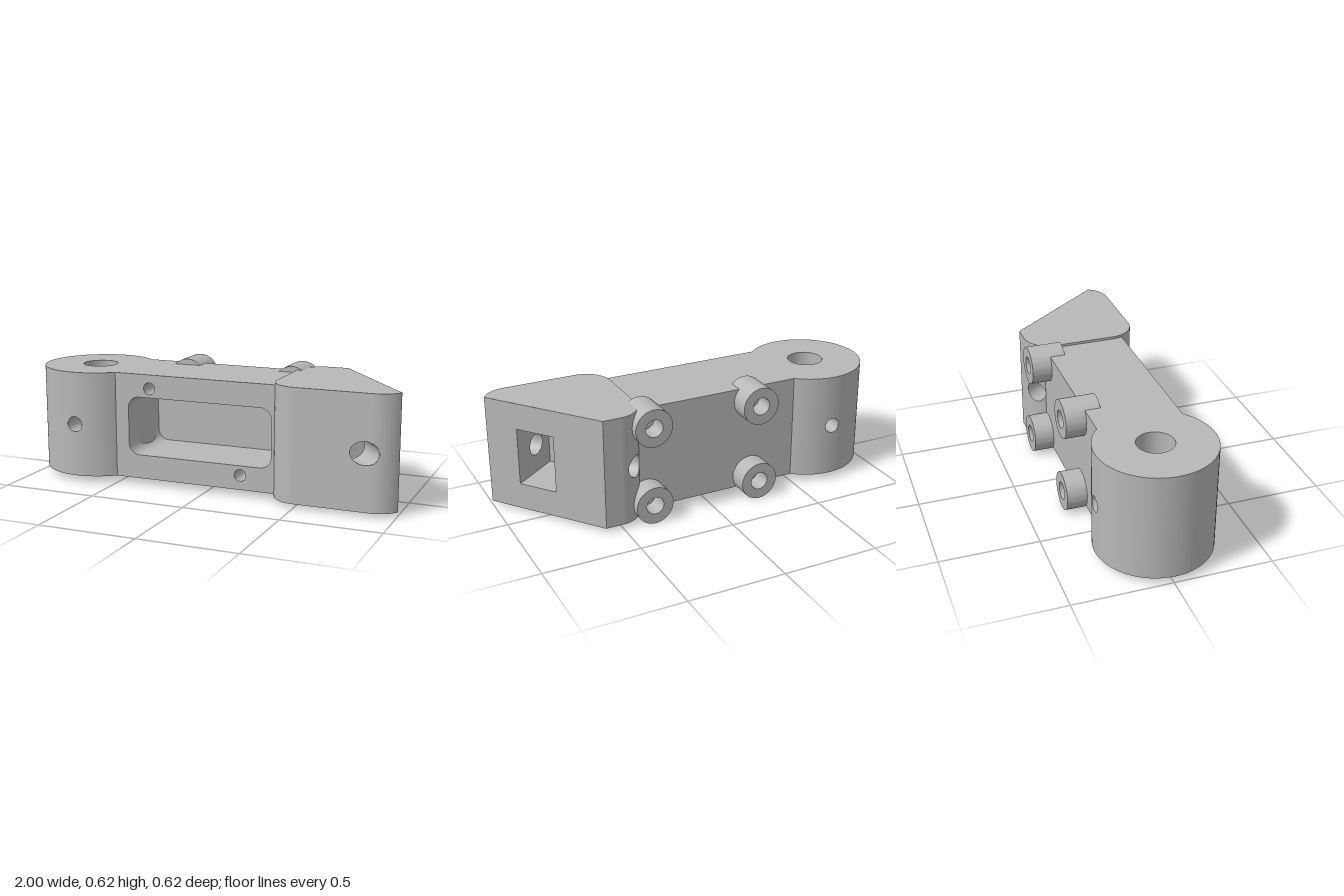
import * as THREE from 'three';
import { toCreasedNormals } from 'three/addons/utils/BufferGeometryUtils.js';

const metal = new THREE.MeshStandardMaterial({ color: 0xb8b8b8, side: THREE.DoubleSide });
metal.name = 'grey metal';

function addMesh(group, name, geometry) {
  const mesh = new THREE.Mesh(toCreasedNormals(geometry, 0.5), metal);
  mesh.name = name;
  group.add(mesh);
  return mesh;
}

function quadGeometry(quads) {
  const pos = [];
  for (const [a, b, c, d] of quads) pos.push(...a, ...b, ...c, ...a, ...c, ...d);
  const g = new THREE.BufferGeometry();
  g.setAttribute('position', new THREE.Float32BufferAttribute(pos, 3));
  return g;
}

// Plan paths are lists of [x, z], running counter-clockwise seen from above
function arc(cx, cz, r, fromDeg, toDeg, n) {
  return Array.from({ length: n + 1 }, (_, i) => {
    const a = THREE.MathUtils.degToRad(fromDeg + (toDeg - fromDeg) * i / n);
    return [cx + r * Math.cos(a), cz + r * Math.sin(a)];
  });
}

function resample(path, step) {
  const out = [path[0]];
  for (let i = 1; i < path.length; i++) {
    const [a, b] = [path[i - 1], path[i]];
    const n = Math.max(1, Math.ceil(Math.hypot(b[0] - a[0], b[1] - a[1]) / step));
    for (let k = 1; k <= n; k++) out.push([a[0] + (b[0] - a[0]) * k / n, a[1] + (b[1] - a[1]) * k / n]);
  }
  return out;
}

// Upright wall along a path, optionally pierced by a horizontal bore
function wall(path, y0, y1, bore) {
  const pts = bore ? resample(path, 0.004) : path;
  const quads = [];
  const strip = (p, q, pl, ql, ph, qh) => quads.push(
    [[p[0], pl, p[1]], [q[0], ql, q[1]], [q[0], qh, q[1]], [p[0], ph, p[1]]]);
  const half = (p) => {
    const w = (p[0] - bore.p[0]) * bore.d[1] - (p[1] - bore.p[1]) * bore.d[0];
    return Math.sqrt(Math.max(0, bore.r ** 2 - w * w));
  };
  for (let i = 1; i < pts.length; i++) {
    const [p, q] = [pts[i - 1], pts[i]];
    if (!bore) { strip(p, q, y0, y0, y1, y1); continue; }
    const [hp, hq] = [half(p), half(q)];
    strip(p, q, y0, y0, bore.y - hp, bore.y - hq);
    strip(p, q, bore.y + hp, bore.y + hq, y1, y1);
  }
  return quadGeometry(quads);
}

// Distance along a bore line, shifted sideways by w, to where it meets a path
function hit(path, bore, w, sign) {
  const [dx, dz] = bore.d;
  const px = bore.p[0] - dz * w, pz = bore.p[1] + dx * w;
  let best = 0;
  for (let i = 1; i < path.length; i++) {
    const [a, b] = [path[i - 1], path[i]];
    const sa = (a[0] - px) * -dz + (a[1] - pz) * dx;
    const sb = (b[0] - px) * -dz + (b[1] - pz) * dx;
    if (sa * sb > 0 || sa === sb) continue;
    const k = sa / (sa - sb);
    const t = (a[0] + (b[0] - a[0]) * k - px) * dx + (a[1] + (b[1] - a[1]) * k - pz) * dz;
    if (t * sign > best * sign) best = t;
  }
  return best;
}

// Inside surface of a bore between two paths
function tunnel(bore, startPath, endPath, sign) {
  const n = 40, rings = [];
  for (let i = 0; i <= n; i++) {
    const a = i / n * Math.PI * 2;
    const w = bore.r * Math.cos(a), y = bore.y + bore.r * Math.sin(a);
    const at = (t) => [bore.p[0] - bore.d[1] * w + bore.d[0] * t, y, bore.p[1] + bore.d[0] * w + bore.d[1] * t];
    rings.push([at(hit(startPath, bore, w, sign)), at(hit(endPath, bore, w, sign))]);
  }
  return quadGeometry(rings.slice(1).map((r, i) => [rings[i][0], r[0], r[1], rings[i][1]]));
}

// Flat horizontal face
function cap(path, y, up, hole) {
  const s = up ? -1 : 1;
  const pts = (p) => p.map(([x, z]) => new THREE.Vector2(x, s * z));
  const shape = new THREE.Shape(pts(path));
  if (hole) shape.holes.push(new THREE.Path(pts(hole)));
  return new THREE.ShapeGeometry(shape).rotateX(s * Math.PI / 2).translate(0, y, 0);
}

function circleHole(x, y, r) {
  return new THREE.Path().absarc(x, y, r, 0, Math.PI * 2, true);
}

function roundedWindow(x0, y0, x1, y1, r) {
  const p = new THREE.Path();
  p.absarc(x1 - r, y1 - r, r, 0, Math.PI / 2);
  p.absarc(x0 + r, y1 - r, r, Math.PI / 2, Math.PI);
  p.absarc(x0 + r, y0 + r, r, Math.PI, Math.PI * 1.5);
  p.absarc(x1 - r, y0 + r, r, Math.PI * 1.5, Math.PI * 2);
  p.closePath();
  return p;
}

const Y0 = 0.035, Y1 = 0.585, MID = 0.31;

// Round pivot end with a vertical hole and a small cross bore
function buildPivot() {
  const g = new THREE.Group();
  g.name = 'pivotEnd';
  const c = [-0.705, 0.007];
  const outer = arc(...c, 0.295, 360, 0, 96), inner = arc(...c, 0.092, 0, 360, 64);
  const bore = { p: c, d: [0, 1], r: 0.04, y: MID };
  addMesh(g, 'pivotOuterWall', wall(outer, Y0, Y1, bore));
  addMesh(g, 'pivotHoleWall', wall(inner, Y0, Y1, bore));
  addMesh(g, 'pivotTop', cap(outer, Y1, true, inner));
  addMesh(g, 'pivotBottom', cap(outer, Y0, false, inner));
  addMesh(g, 'frontCrossBore', tunnel(bore, inner, outer, 1));
  addMesh(g, 'backCrossBore', tunnel(bore, outer, inner, -1));
  return g;
}

// Bar in three layers: drilled face, window depth and closed back
function buildBar() {
  const g = new THREE.Group();
  g.name = 'bar';
  const window = roundedWindow(-0.43, 0.16, 0.355, 0.465, 0.06);
  const pinHoles = [circleHole(-0.31, 0.513, 0.031), circleHole(0.19, 0.11, 0.031)];
  const layers = [
    ['barFront', 0.08, 0.222, [window, ...pinHoles]],
    ['barMiddle', -0.13, 0.08, [window]],
    ['barBack', -0.21, -0.13, []],
  ];
  for (const [name, z0, z1, holes] of layers) {
    const s = new THREE.Shape();
    s.moveTo(-0.56, Y0).lineTo(0.374, Y0).lineTo(0.374, Y1).lineTo(-0.56, Y1).closePath();
    s.holes.push(...holes);
    addMesh(g, name, new THREE.ExtrudeGeometry(s, { depth: z1 - z0, bevelEnabled: false, curveSegments: 16 }))
      .position.z = z0;
  }
  return g;
}

// Wedge head with a slanted face, a deep pocket and a slanting bore
function buildHead() {
  const g = new THREE.Group();
  g.name = 'wedgeHead';
  const y0 = 0.022, y1 = 0.598, p0 = 0.16, p1 = 0.46, depth = 0.28;
  const tip = [1, 0.235], heel = [0.59, -0.29];
  const side = [
    heel, ...arc(0.5, -0.15, 0.14, 270, 180, 20),
    ...arc(0.5, 0.168, 0.14, 180, 90, 20),
    ...arc(0.88, 0.17, 0.138, 90, 29, 16), tip,
  ];
  const A = [0.762, -0.07], B = [0.891, 0.095];
  const d = [0.6155, 0.7882];
  const inward = (p) => [p[0] - d[1] * depth, p[1] + d[0] * depth];
  const A2 = inward(A), B2 = inward(B);
  const bore = { p: [0.699, 0.113], d, r: 0.0575, y: MID };

  addMesh(g, 'headSide', wall(side, y0, y1, bore));
  addMesh(g, 'headTop', cap(side, y1, true));
  addMesh(g, 'headBottom', cap(side, y0, false));
  addMesh(g, 'slantFront', wall([tip, B], y0, y1));
  addMesh(g, 'slantBack', wall([A, heel], y0, y1));
  addMesh(g, 'slantBelowPocket', wall([B, A], y0, p0));
  addMesh(g, 'slantAbovePocket', wall([B, A], p1, y1));
  addMesh(g, 'pocketFrontWall', wall([B, B2], p0, p1, bore));
  addMesh(g, 'pocketFloor', wall([B2, A2], p0, p1));
  addMesh(g, 'pocketBackWall', wall([A2, A], p0, p1, bore));
  addMesh(g, 'pocketLowerWall', cap([A, B, B2, A2], p0, true));
  addMesh(g, 'pocketUpperWall', cap([A, B, B2, A2], p1, false));
  addMesh(g, 'frontBore', tunnel(bore, [B, B2], side, 1));
  addMesh(g, 'backBore', tunnel(bore, side, [A2, A], -1));
  return g;
}

// Four hollow bosses on the back
function buildBosses() {
  const g = new THREE.Group();
  g.name = 'bosses';
  const ring = new THREE.Shape().absarc(0, 0, 0.0985, 0, Math.PI * 2);
  ring.holes.push(circleHole(0, 0, 0.046));
  for (const x of [-0.255, 0.335]) for (const y of [0.0985, 0.517]) {
    const geo = new THREE.ExtrudeGeometry(ring, { depth: 0.182, bevelEnabled: false, curveSegments: 40 });
    addMesh(g, 'boss', geo).position.set(x, y, -0.313);
  }
  return g;
}

export function createModel() {
  const model = new THREE.Group();
  model.name = 'pivotArm';
  model.add(buildPivot(), buildBar(), buildHead(), buildBosses());
  return model;
}
